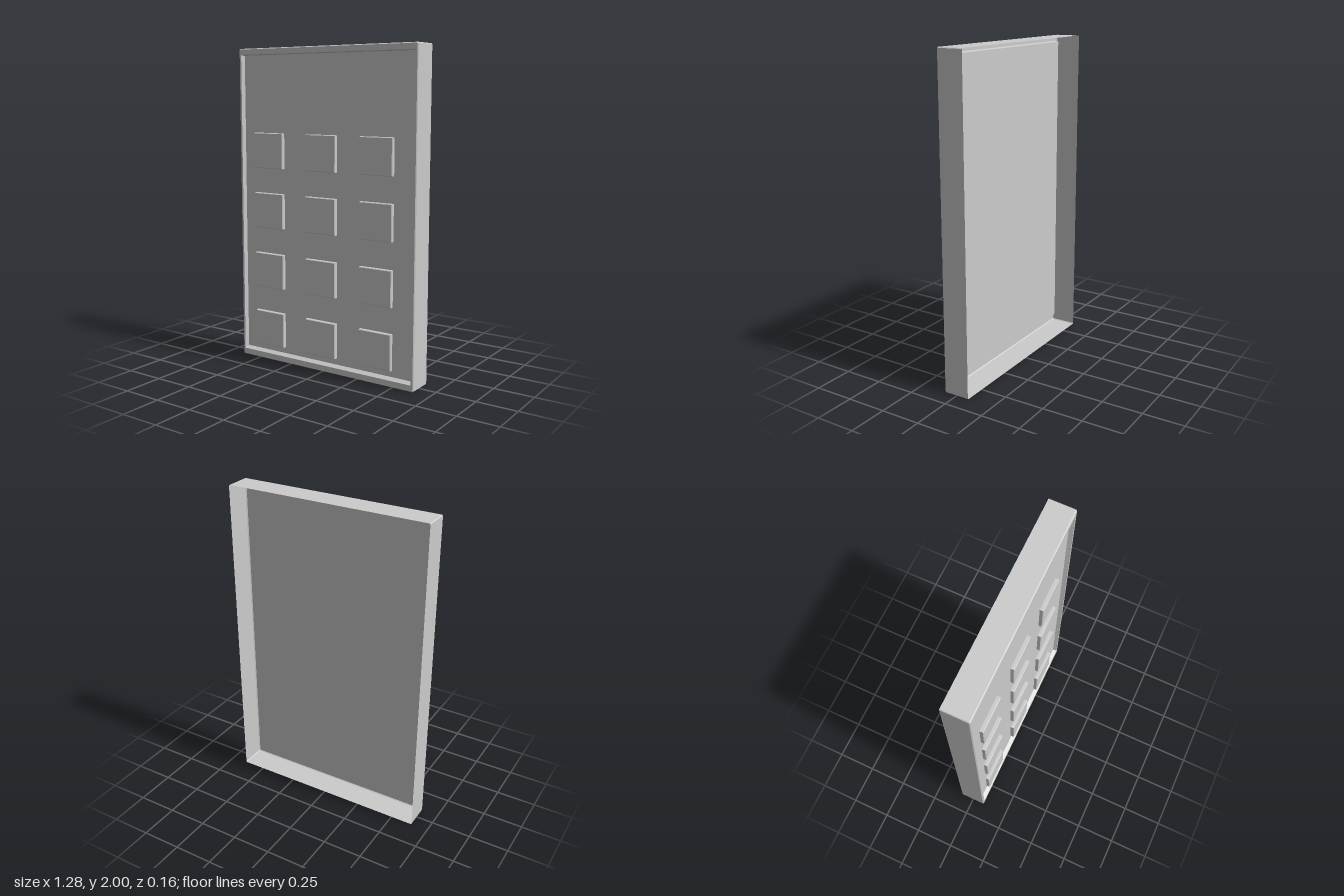
import * as THREE from 'three';

const material = new THREE.MeshStandardMaterial({
  color: 0xcccccc, flatShading: true, side: THREE.DoubleSide,
});

// Rectangle at depth z with corners cut by c, counter-clockwise from the front
function ring(x0, x1, y0, y1, z, c = 0.001) {
  return [
    [x0 + c, y0, z], [x1 - c, y0, z], [x1, y0 + c, z], [x1, y1 - c, z],
    [x1 - c, y1, z], [x0 + c, y1, z], [x0, y1 - c, z], [x0, y0 + c, z],
  ];
}

// Skin successive rings, optionally closing the last one
function loft(name, rings, cap = false) {
  const position = [];
  const n = rings[0].length;
  for (let r = 0; r < rings.length - 1; r++) {
    const a = rings[r], b = rings[r + 1];
    for (let i = 0; i < n; i++) {
      const j = (i + 1) % n;
      position.push(...a[i], ...a[j], ...b[j], ...a[i], ...b[j], ...b[i]);
    }
  }
  if (cap) {
    const last = rings[rings.length - 1];
    for (let i = 1; i < n - 1; i++) position.push(...last[0], ...last[i], ...last[i + 1]);
  }
  const geometry = new THREE.BufferGeometry();
  geometry.setAttribute('position', new THREE.Float32BufferAttribute(position, 3));
  geometry.computeVertexNormals();
  const mesh = new THREE.Mesh(geometry, material);
  mesh.name = name;
  return mesh;
}

export function createModel() {
  const group = new THREE.Group();
  group.name = 'keypadCover';
  const panelZ = 0.056;

  // Thin outer walls, open at the back, with a softened front edge
  group.add(loft('outerWalls', [
    ring(-0.642, 0.642, 0, 2, -0.082, 0.005),
    ring(-0.642, 0.642, 0, 2, 0.076, 0.005),
    ring(-0.637, 0.637, 0.005, 1.995, 0.082, 0.004),
  ]));

  // Front rim and the sloped sides of the recess
  const recess = ring(-0.617, 0.617, 0.055, 1.957, panelZ);
  group.add(loft('frontRim', [
    ring(-0.637, 0.637, 0.005, 1.995, 0.082, 0.004),
    ring(-0.625, 0.625, 0.04, 1.962, 0.082),
    recess,
  ]));

  // Recessed face panel
  group.add(loft('facePanel', [recess], true));

  // Buttons: four rows of three
  const buttons = new THREE.Group();
  buttons.name = 'buttons';
  const h = 0.112;
  for (const y of [1.362, 0.98, 0.59, 0.206]) {
    for (const x of [-0.418, -0.021, 0.373]) {
      const square = (s, z) => ring(x - s, x + s, y - s, y + s, z);
      buttons.add(loft('button', [
        square(h, panelZ), square(h, 0.076), square(h - 0.004, 0.08),
      ], true));
    }
  }
  group.add(buttons);
  return group;
}
